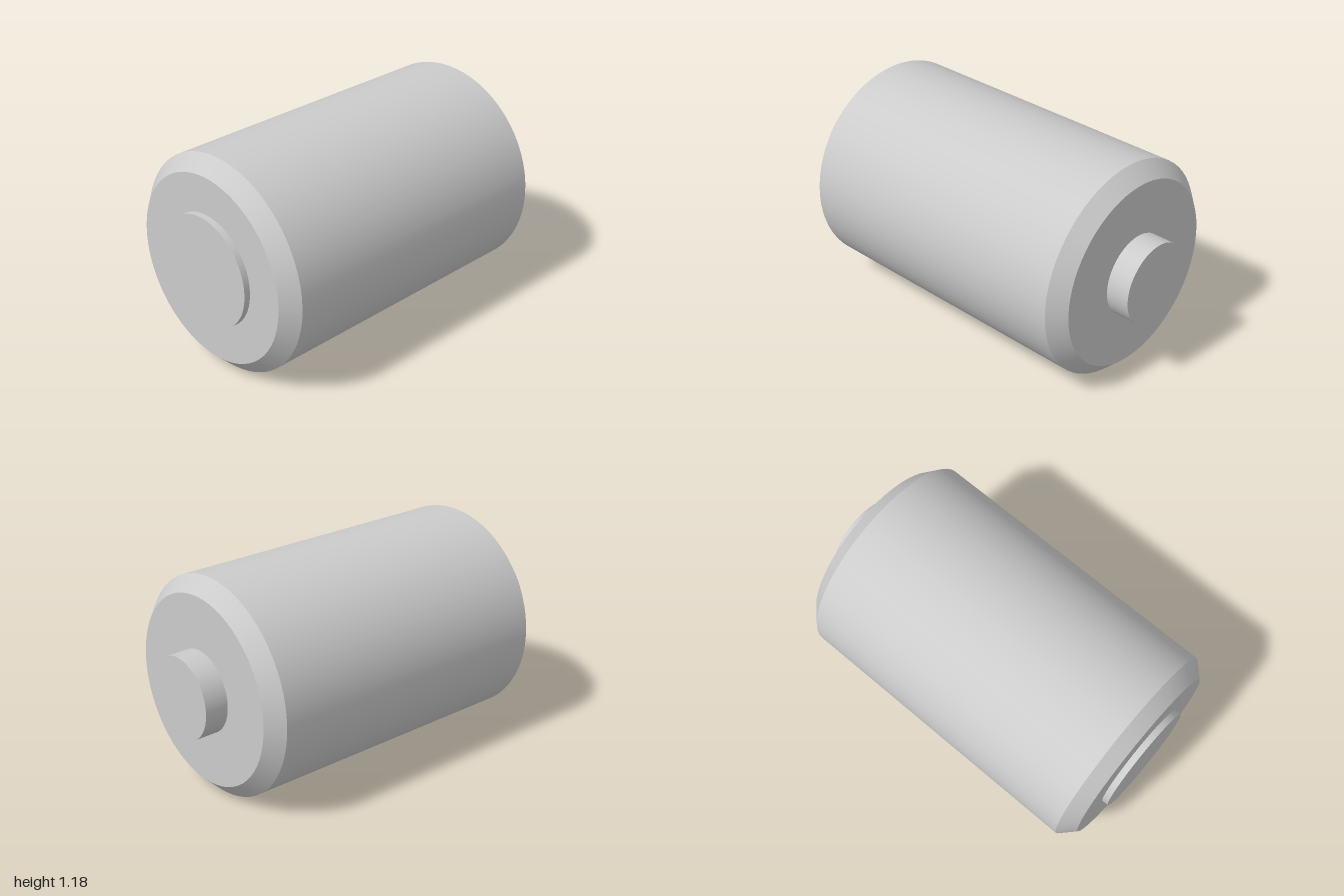
import * as THREE from 'three';

const SEGMENTS = 64;
const RADIUS = 0.588;      // main body
const FACE_RADIUS = 0.508; // flat end inside the chamfer

export function createModel() {
  const group = new THREE.Group();
  const material = new THREE.MeshStandardMaterial({ color: 0xcccccc });

  // Round section along z, from zBack to zFront
  function section(name, zBack, zFront, rBack, rFront, open) {
    const geometry = new THREE.CylinderGeometry(rFront, rBack, zFront - zBack, SEGMENTS, 1, open);
    geometry.rotateX(Math.PI / 2);
    const mesh = new THREE.Mesh(geometry, material);
    mesh.name = name;
    mesh.position.set(0, RADIUS, (zBack + zFront) / 2);
    group.add(mesh);
  }

  // Flat end disc
  function endFace(name, z, facing) {
    const geometry = new THREE.CircleGeometry(FACE_RADIUS, SEGMENTS);
    if (facing < 0) geometry.rotateY(Math.PI);
    const mesh = new THREE.Mesh(geometry, material);
    mesh.name = name;
    mesh.position.set(0, RADIUS, z);
    group.add(mesh);
  }

  // Casing with a chamfer at each end
  section('casing', -0.79, 0.885, RADIUS, RADIUS, true);
  section('frontChamfer', 0.885, 0.965, RADIUS, FACE_RADIUS, true);
  section('backChamfer', -0.87, -0.79, FACE_RADIUS, RADIUS, true);
  endFace('frontFace', 0.965, 1);
  endFace('backFace', -0.87, -1);

  // Wide shallow contact in front, narrow raised contact behind
  section('flatTerminal', 0.965, 1, 0.304, 0.304, false);
  section('raisedTerminal', -1, -0.87, 0.221, 0.221, false);

  return group;
}
